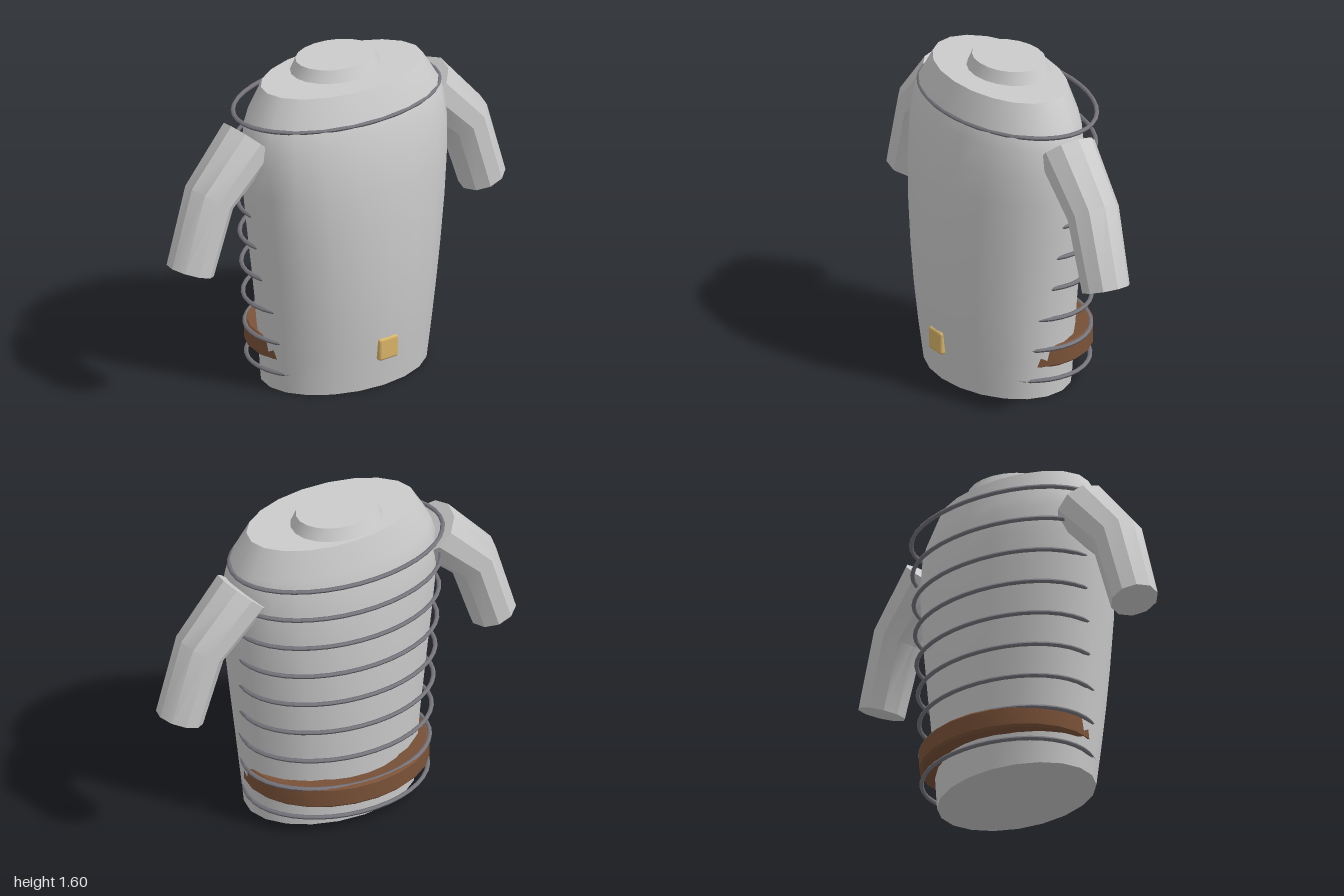
import * as THREE from 'three';
import { toCreasedNormals } from 'three/addons/utils/BufferGeometryUtils.js';
import { RoundedBoxGeometry } from 'three/addons/geometries/RoundedBoxGeometry.js';

const grey = new THREE.MeshStandardMaterial({ color: 0xcccccc });
const darkGrey = new THREE.MeshStandardMaterial({ color: 0x77757c });
const leather = new THREE.MeshStandardMaterial({ color: 0x7a5238 });
const brass = new THREE.MeshStandardMaterial({ color: 0xd8b368 });

// Closed skin over elliptical sections { c: centre, u, v: half axes }, capped at both ends.
function loft(sections, sides) {
  const pos = [], idx = [];
  for (const { c, u, v } of sections) {
    for (let i = 0; i < sides; i++) {
      const a = (i / sides) * Math.PI * 2;
      const p = c.clone().addScaledVector(u, Math.cos(a)).addScaledVector(v, Math.sin(a));
      pos.push(p.x, p.y, p.z);
    }
  }
  const last = sections.length - 1;
  for (let s = 0; s < last; s++) {
    for (let i = 0; i < sides; i++) {
      const j = (i + 1) % sides;
      const a = s * sides + i, b = s * sides + j;
      idx.push(a, a + sides, b, b, a + sides, b + sides);
    }
  }
  for (let i = 1; i < sides - 1; i++) {
    idx.push(0, i, i + 1);
    const t = last * sides;
    idx.push(t, t + i + 1, t + i);
  }
  const g = new THREE.BufferGeometry();
  g.setAttribute('position', new THREE.Float32BufferAttribute(pos, 3));
  g.setIndex(idx);
  return toCreasedNormals(g, 0.6);
}

// Horizontal section from height, half width, front z and back z.
const level = ([y, rx, front, back]) => ({
  c: new THREE.Vector3(0, y, (front + back) / 2),
  u: new THREE.Vector3(rx, 0, 0),
  v: new THREE.Vector3(0, 0, (front - back) / 2),
});

function add(parent, name, geometry, material) {
  const mesh = new THREE.Mesh(geometry, material);
  mesh.name = name;
  parent.add(mesh);
  return mesh;
}

// Sleeve: shoulder, mitred elbow and cuff; side is +1 (left) or -1 (right).
function sleeve(side) {
  const joints = [
    [0.53, 1.31, 0.105, 0.095, 0.145],
    [0.77, 1.07, 0.105, 0.07, 0.13],
    [0.885, 0.717, 0.11, 0.038, 0.118],
  ];
  const sections = joints.map(([x, y, ux, uy, rz]) => ({
    c: new THREE.Vector3(side * x, y, -0.027),
    u: new THREE.Vector3(side * ux, uy, 0),
    v: new THREE.Vector3(0, 0, side * rz),
  }));
  return loft(sections.reverse(), 10);
}

export function createModel() {
  const model = new THREE.Group();
  model.name = 'jacket';

  // Barrel-shaped torso with sloping shoulders
  add(model, 'torso', loft([
    [0, 0.445, 0.345, -0.285],
    [0.2, 0.462, 0.373, -0.296],
    [0.4, 0.482, 0.394, -0.307],
    [0.6, 0.506, 0.406, -0.318],
    [0.85, 0.537, 0.41, -0.325],
    [1.05, 0.56, 0.402, -0.323],
    [1.2, 0.568, 0.386, -0.315],
    [1.33, 0.558, 0.358, -0.3],
    [1.4, 0.535, 0.337, -0.285],
    [1.54, 0.45, 0.278, -0.242],
  ].map(level), 20), grey);

  // Tapered collar
  add(model, 'collar', loft([
    [1.53, 0.238, 0.162, -0.225],
    [1.6, 0.208, 0.132, -0.195],
  ].map(level), 20), grey);

  for (const side of [1, -1]) {
    add(model, side > 0 ? 'leftSleeve' : 'rightSleeve', sleeve(side), grey);
  }

  // Evenly spaced hoops, standing clear of the back and sinking into the front
  const hoops = new THREE.Group();
  hoops.name = 'quiltHoops';
  model.add(hoops);
  for (let i = 0; i < 9; i++) {
    const rx = 0.468 + 0.0115 * i, rz = 0.36;
    const g = new THREE.TorusGeometry(1, 0.011, 6, 40);
    const p = g.attributes.position;
    // Stretch the centre line to an ellipse while keeping the tube round
    for (let k = 0; k < p.count; k++) {
      const x = p.getX(k), y = p.getY(k), z = p.getZ(k);
      const r = Math.hypot(x, y), off = r - 1;
      p.setXYZ(k, (x / r) * (rx + off), z, -(y / r) * (rz + off));
    }
    g.computeVertexNormals();
    add(hoops, 'hoop', g, darkGrey).position.set(0, 0.095 + 0.1625 * i, -0.026);
  }

  // Belt: thick band with bevelled outer edges
  const profile = [
    [0.76, -0.045], [0.97, -0.055], [1, -0.043], [1, 0.043], [0.97, 0.055], [0.76, 0.045], [0.76, -0.045],
  ].map(([x, y]) => new THREE.Vector2(x, y));
  const band = new THREE.LatheGeometry(profile, 24);
  band.scale(0.472, 1, 0.382);
  add(model, 'belt', toCreasedNormals(band, 0.5), leather).position.set(0, 0.21, -0.027);

  // Buckle
  add(model, 'buckle', new RoundedBoxGeometry(0.115, 0.115, 0.04, 2, 0.014), brass)
    .position.set(0, 0.208, 0.368);

  return model;
}
